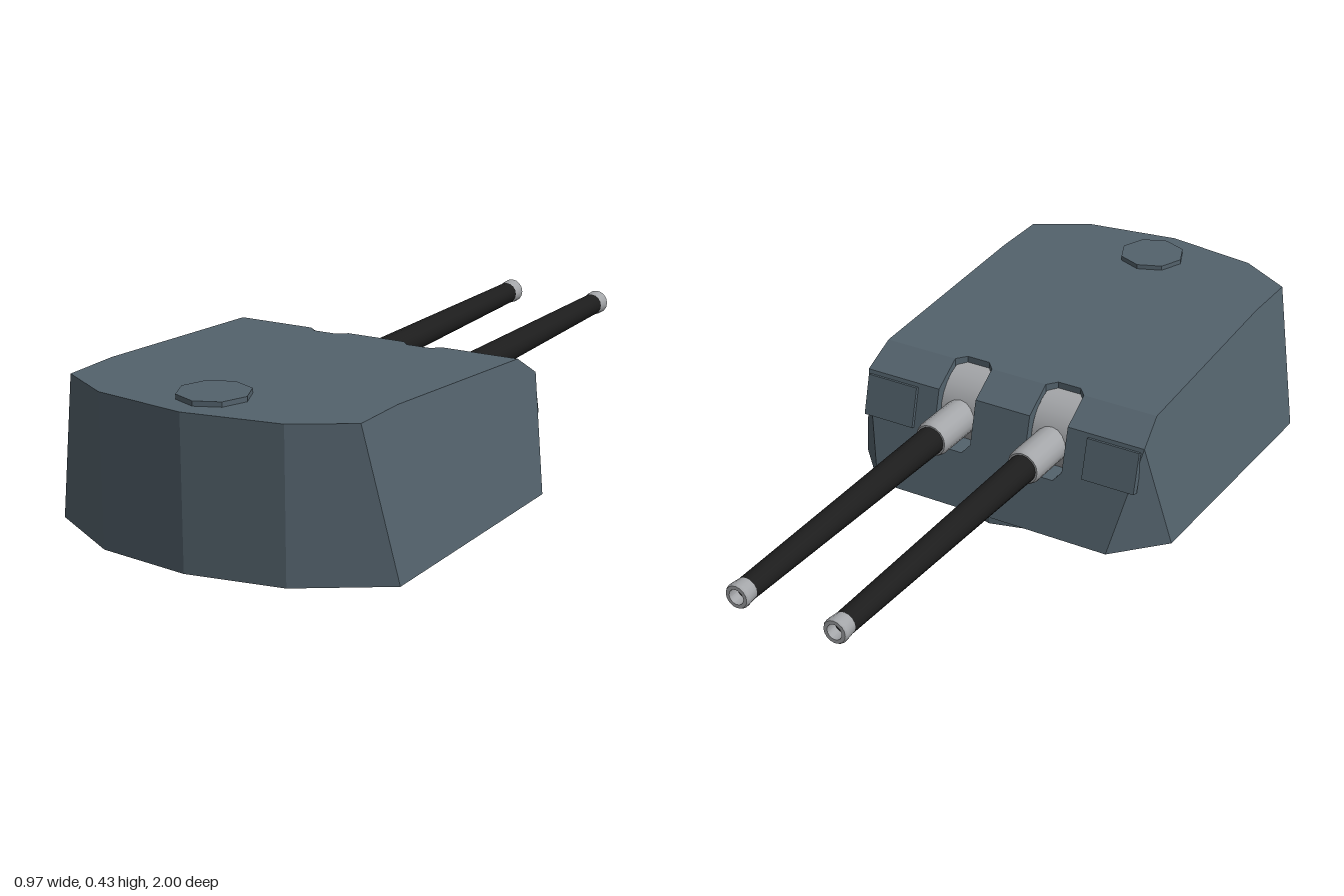
import * as THREE from 'three';
import { mergeGeometries, toCreasedNormals } from 'three/addons/utils/BufferGeometryUtils.js';

const material = (name, color, extra = {}) => new THREE.MeshStandardMaterial({ name, color, ...extra });

// Flat polygon through 3D corners, wound so that it faces the "out" direction
function face(points, out) {
  const pts = points.map(p => new THREE.Vector3(...p));
  const n = new THREE.Vector3();
  pts.forEach((p, i) => n.add(p.clone().cross(pts[(i + 1) % pts.length])));
  if (n.dot(new THREE.Vector3(...out)) < 0) { pts.reverse(); n.negate(); }
  n.normalize();
  const helper = Math.abs(n.y) > 0.8 ? new THREE.Vector3(1, 0, 0) : new THREE.Vector3(0, 1, 0);
  const u = helper.cross(n).normalize();
  const v = n.clone().cross(u);
  const flat = pts.map(p => new THREE.Vector2(p.dot(u), p.dot(v)));
  const corners = THREE.ShapeUtils.triangulateShape(flat, []).flat().map(i => pts[i]);
  const g = new THREE.BufferGeometry().setFromPoints(corners);
  g.computeVertexNormals();
  return g;
}

const GUN_X = 0.142, GUN_Y = 0.25, SLOT = 0.058, SLOT_END = 0.034;
const sideX = y => 0.485 - 0.075 * (y - 0.02) / 0.4;
const frontZ = y => 0.005 - 0.073 * (0.325 - y) / 0.305;
const roofY = z => 0.38 + 0.04 * (z - 0.09) / 0.61;
const mirror = pts => pts.map(([x, y, z]) => [-x, y, z]);

export function createModel() {
  const armour = material('armour grey', 0x53626c, { flatShading: true, side: THREE.DoubleSide });
  const steel = material('light steel', 0xa4a6a9);
  const black = material('barrel black', 0x1d1d1d);
  const model = new THREE.Group();
  model.name = 'twinGunTurret';
  const add = (name, geometry, mat, parent = model) => {
    const m = new THREE.Mesh(geometry, mat);
    m.name = name;
    parent.add(m);
    return m;
  };

  // Gun slot outlines on the front plate and on the roof, left to right
  const frontNotch = c => [[-SLOT, 0.325], [-SLOT, 0.2], [-SLOT_END, 0.172], [SLOT_END, 0.172], [SLOT, 0.2], [SLOT, 0.325]]
    .map(([x, y]) => [c + x, y, frontZ(y)]);
  const roofNotch = c => [[-SLOT, 0.09], [-SLOT_END, 0.116], [SLOT_END, 0.116], [SLOT, 0.09]]
    .map(([x, z]) => [c + x, roofY(z), z]);
  const bothSlots = fn => [...fn(-GUN_X), ...fn(GUN_X)];

  // Armoured house
  const A = [sideX(0.325), 0.325, 0.005], B = [sideX(0.38), 0.38, 0.09];
  const crest = [0.41, 0.42, 0.7], shoulder = [0.41, 0.42, 0.87];
  const chin = [0.36, 0.02, frontZ(0.02)], cheek = [0.485, 0.02, 0.07], heel = [0.485, 0.02, 0.82];
  const rear = y => [0.26, y, 0.96], tail = y => [0, y, 1];
  const flip = p => mirror([p])[0];
  const shell = [
    face([flip(chin), flip(A), ...bothSlots(frontNotch), A, chin], [0, 0, -1]),
    face([flip(B), ...bothSlots(roofNotch), B, crest, flip(crest)], [0, 1, 0]),
    face([crest, shoulder, rear(0.42), tail(0.42), flip(rear(0.42)), flip(shoulder), flip(crest)], [0, 1, 0]),
    face([chin, cheek, heel, rear(0.02), tail(0.02), ...mirror([rear(0.02), heel, cheek, chin])], [0, -1, 0]),
  ];
  // Sloping brow between the slots
  const edges = [-A[0], -GUN_X - SLOT, -GUN_X + SLOT, GUN_X - SLOT, GUN_X + SLOT, A[0]];
  for (let i = 0; i < 6; i += 2) {
    const top = x => Math.abs(x) === A[0] ? Math.sign(x) * B[0] : x;
    const [l, r] = [edges[i], edges[i + 1]];
    shell.push(face([[l, 0.325, 0.005], [r, 0.325, 0.005], [top(r), 0.38, 0.09], [top(l), 0.38, 0.09]], [0, 1, -1]));
  }
  // Sides, front corners and faceted back
  for (const s of [1, -1]) {
    const half = (pts, out) => shell.push(face(s > 0 ? pts : mirror(pts), [out[0] * s, out[1], out[2]]));
    half([cheek, heel, shoulder, crest, B, A], [1, 0, 0]);
    half([chin, cheek, A], [1, 0, -1]);
    half([heel, rear(0.02), rear(0.42), shoulder], [1, 0, 1]);
    half([rear(0.02), tail(0.02), tail(0.42), rear(0.42)], [0, 0, 1]);
  }
  add('turretHouse', mergeGeometries(shell), armour);

  // Inner walls of the gun slots
  const walls = [];
  for (const c of [-GUN_X, GUN_X]) {
    for (const s of [-1, 1]) {
      const x = c + s * SLOT;
      walls.push(face([[x, 0.38, 0.09], [x, 0.325, 0.005], [x, 0.2, frontZ(0.2)], [x, 0.2, 0.12], [x, 0.38, 0.12]], [-s, 0, 0]));
    }
    const f = frontNotch(c).slice(1, 5), r = roofNotch(c);
    for (let i = 0; i < 3; i++) {
      const deep = p => [p[0], p[1], 0.12], low = p => [p[0], 0.2, p[2]];
      walls.push(face([f[i], f[i + 1], deep(f[i + 1]), deep(f[i])], [0, 1, 0]));
      walls.push(face([r[i], r[i + 1], low(r[i + 1]), low(r[i])], [0, 0, -1]));
    }
  }
  add('gunSlotWalls', mergeGeometries(walls), armour);

  // Rotating base ring and roof hatch
  add('baseRing', new THREE.CylinderGeometry(0.433, 0.433, 0.022, 12), armour).position.set(0, 0.011, 0.367);
  add('roofHatch', new THREE.CylinderGeometry(0.093, 0.093, 0.02, 8), armour).position.set(0, 0.423, 0.855);

  // Raised plates on the front
  for (const s of [-1, 1]) {
    const plate = add(s > 0 ? 'leftFrontPlate' : 'rightFrontPlate', new THREE.BoxGeometry(0.155, 0.115, 0.02), armour);
    plate.position.set(s * 0.342, 0.258, frontZ(0.258));
    plate.rotation.x = Math.atan2(0.073, 0.305);
  }

  // Guns, turned around the barrel axis and pointing to -z
  const turned = profile => toCreasedNormals(
    new THREE.LatheGeometry(profile.map(([r, d]) => new THREE.Vector2(r, d)), 16).rotateX(-Math.PI / 2), 0.6);
  for (const s of [-1, 1]) {
    const gun = new THREE.Group();
    gun.name = s > 0 ? 'leftGun' : 'rightGun';
    gun.position.set(s * GUN_X, GUN_Y, 0);
    model.add(gun);
    const mantlet = new THREE.CylinderGeometry(0.115, 0.115, 0.112, 24).rotateZ(Math.PI / 2);
    add('mantlet', mantlet, steel, gun).position.z = 0.125;
    add('sleeve', turned([[0.05, -0.06], [0.05, 0.12], [0.045, 0.132], [0.03, 0.132]]), steel, gun);
    add('barrel', turned([[0.04, 0.125], [0.031, 0.96]]), black, gun);
    add('muzzle', turned([[0.028, 0.955], [0.031, 0.957], [0.034, 0.985], [0.034, 0.995], [0.031, 1], [0.021, 1], [0.021, 0.965]]), steel, gun);
    add('bore', new THREE.CircleGeometry(0.022, 16).rotateY(Math.PI), black, gun).position.z = -0.967;
  }
  return model;
}
